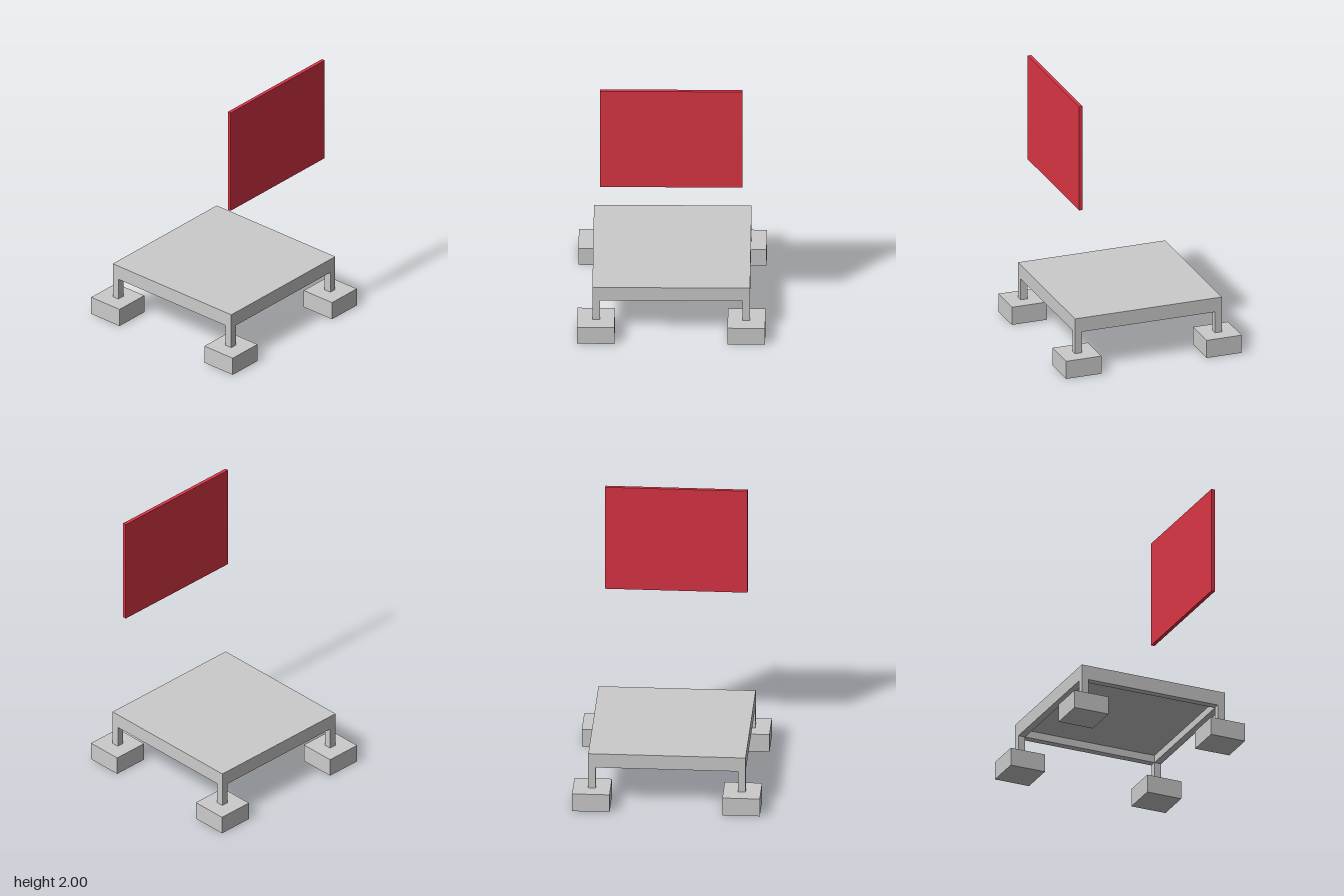
import * as THREE from 'three';

const grey = new THREE.MeshStandardMaterial({ color: 0xcccccc });
const red = new THREE.MeshStandardMaterial({ color: 0xdc3545 });

// Box given by its lower and upper corners
function box(name, [x0, y0, z0], [x1, y1, z1], material = grey) {
  const mesh = new THREE.Mesh(new THREE.BoxGeometry(x1 - x0, y1 - y0, z1 - z0), material);
  mesh.position.set((x0 + x1) / 2, (y0 + y1) / 2, (z0 + z1) / 2);
  mesh.name = name;
  return mesh;
}

export function createModel() {
  const model = new THREE.Group();
  model.name = 'tableWithFloatingPanel';

  const outer = 0.558, inner = 0.505; // outer and inner faces of legs and apron
  const footTop = 0.135, apronBottom = 0.295, slabBottom = 0.35, top = 0.402;

  // Table top
  model.add(box('tableTop', [-outer, slabBottom, -outer], [outer, top, outer]));

  // Apron: square frame hanging below the top
  const frame = new THREE.Shape();
  frame.moveTo(-outer, -outer).lineTo(outer, -outer).lineTo(outer, outer).lineTo(-outer, outer).closePath();
  const hole = new THREE.Path();
  hole.moveTo(-inner, -inner).lineTo(-inner, inner).lineTo(inner, inner).lineTo(inner, -inner).closePath();
  frame.holes.push(hole);
  const apronGeometry = new THREE.ExtrudeGeometry(frame, { depth: slabBottom - apronBottom, bevelEnabled: false });
  apronGeometry.rotateX(-Math.PI / 2);
  const apron = new THREE.Mesh(apronGeometry, grey);
  apron.position.y = apronBottom;
  apron.name = 'apron';
  model.add(apron);

  // Four corner legs on block feet
  const legMid = (outer + inner) / 2, legHalf = (outer - inner) / 2;
  const footMid = 0.533, footHalf = 0.133;
  for (const sx of [-1, 1]) {
    for (const sz of [-1, 1]) {
      const label = (sz > 0 ? 'front' : 'back') + (sx > 0 ? 'Left' : 'Right');
      const lx = sx * legMid, lz = sz * legMid, fx = sx * footMid, fz = sz * footMid;
      model.add(box(label + 'Leg', [lx - legHalf, footTop, lz - legHalf], [lx + legHalf, apronBottom, lz + legHalf]));
      model.add(box(label + 'Foot', [fx - footHalf, 0, fz - footHalf], [fx + footHalf, footTop, fz + footHalf]));
    }
  }

  // Thin upright panel floating above the front edge
  model.add(box('panel', [-inner, 1.205, 0.479], [inner, 2, inner], red));

  return model;
}
